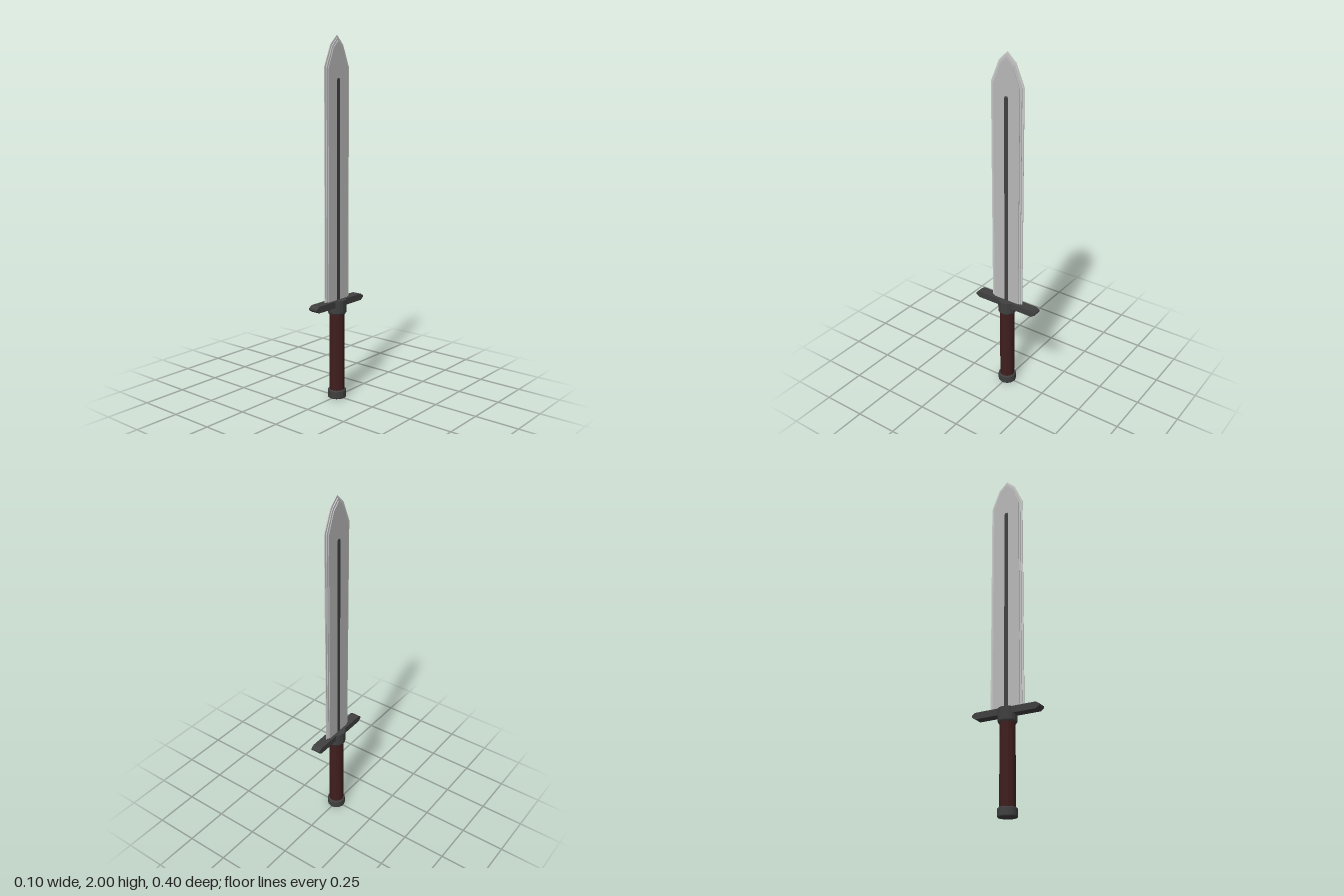
import * as THREE from 'three';

export function createModel() {
  const group = new THREE.Group();
  group.name = 'sword';
  const mat = (name, color) => {
    const m = new THREE.MeshStandardMaterial({ color });
    m.name = name;
    return m;
  };
  const steel = mat('blade steel', 0xb8b8b8);
  const groundSteel = mat('ground steel', 0xc2c2c2);
  const edgeSteel = mat('edge steel', 0xcccccc);
  const iron = mat('dark iron', 0x404040);
  const leather = mat('grip leather', 0x401e1e);

  const add = (name, geometry, material, x = 0) => {
    const mesh = new THREE.Mesh(geometry, material);
    mesh.name = name;
    mesh.position.x = x;
    group.add(mesh);
  };

  // Slab with a mirrored outline in the z-y plane; points run up the +z side
  const slab = (half, thickness) => {
    const mirrored = half.filter(([z]) => z > 0).reverse().map(([z, y]) => [-z, y]);
    const shape = new THREE.Shape([...half, ...mirrored].map(([z, y]) => new THREE.Vector2(z, y)));
    return new THREE.ExtrudeGeometry(shape, { depth: thickness, bevelEnabled: false })
      .translate(0, 0, -thickness / 2)
      .rotateY(-Math.PI / 2);
  };

  // Sixteen-sided turned part
  const turned = (profile) => {
    const points = profile.map(([r, y]) => new THREE.Vector2(r, y));
    const g = new THREE.LatheGeometry(points, 16, Math.PI / 16).toNonIndexed();
    g.computeVertexNormals();
    return g;
  };

  // Hilt
  add('pommel', turned([[0, 0], [0.05, 0], [0.052, 0.004], [0.052, 0.042], [0.048, 0.047], [0, 0.047]]), iron);
  add('grip', turned([[0.042, 0.04], [0.042, 0.5]]), leather);
  add('collar', turned([[0, 0.487], [0.047, 0.487], [0.052, 0.496], [0.052, 0.566], [0, 0.566]]), iron);
  add('crossguard', slab([[0.181, 0.529], [0.201, 0.543], [0.201, 0.553], [0.181, 0.566]], 0.056), iron, -0.0015);

  // Blade: three nested plates, thicker towards the middle
  const bladeX = -0.0025;
  [
    [0, 0.005, 'bladeEdge', edgeSteel],
    [0.01, 0.015, 'bladeBevel', groundSteel],
    [0.02, 0.025, 'bladeCore', steel],
  ].forEach(([inset, thickness, name, material]) => {
    add(name, slab([
      [0.101 - inset, 0.56],
      [0.101 - inset, 1.835 - inset * 0.5],
      [0.051 - inset * 0.6, 1.952 - inset],
      [0, 2 - inset * 1.4],
    ], thickness), material, bladeX);
  });

  // Dark fuller strip on each face
  for (const side of [-1, 1]) {
    add('fuller', slab([[0.012, 0.56], [0.012, 1.765], [0.007, 1.775]], 0.002), iron, bladeX + side * 0.0125);
  }
  return group;
}
